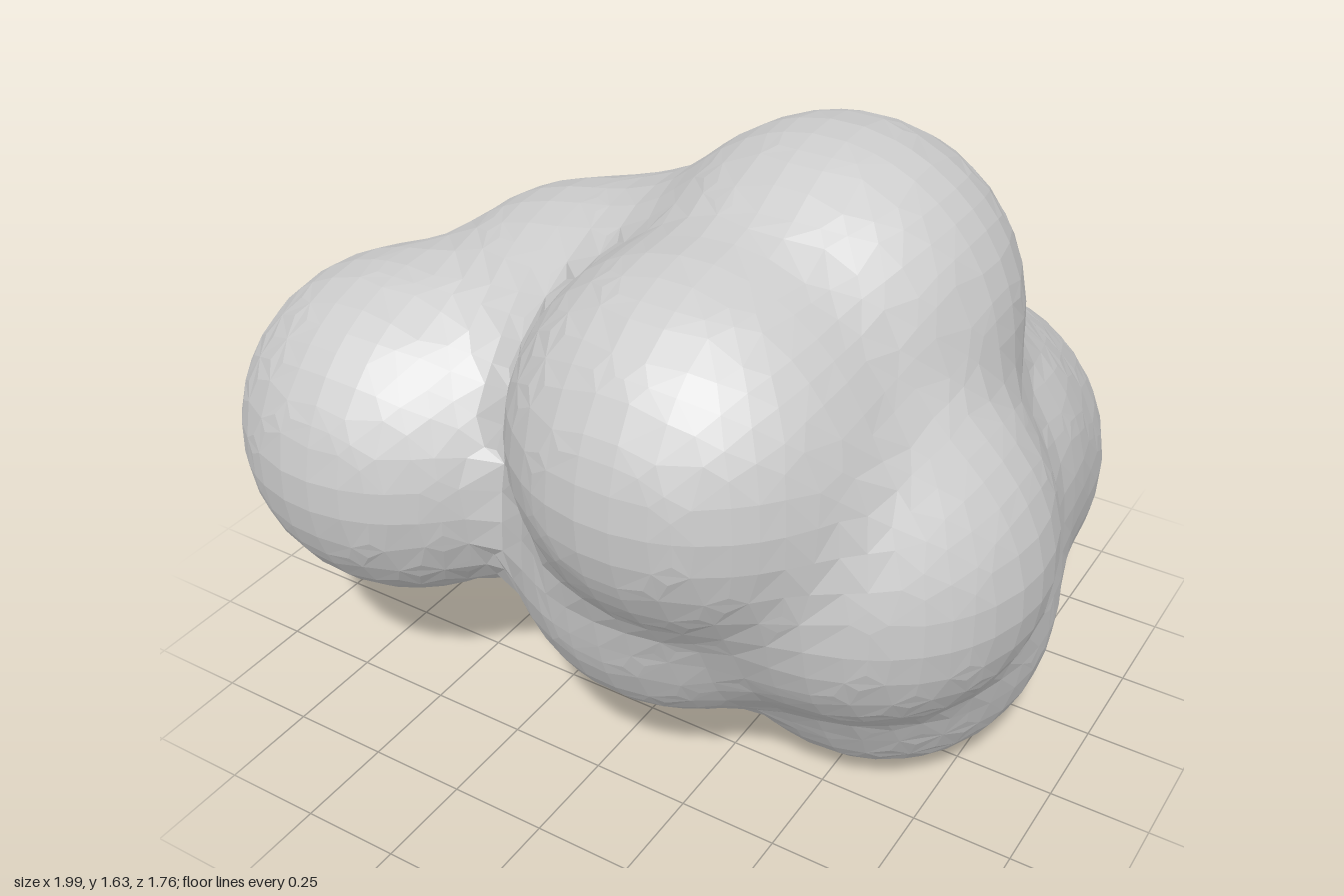
import * as THREE from 'three';

// Lobes of the blob: centre x, y, z and radius
const LOBES = [
  [-0.58, 0.785, 0.39, 0.42],  // right arm
  [-0.26, 0.93, 0.10, 0.41],   // root of the arm
  [0.28, 1.07, 0.46, 0.42],    // front
  [0.36, 1.21, 0.02, 0.42],    // top
  [0.575, 0.78, 0.23, 0.42],   // left side
  [0.50, 0.42, -0.03, 0.42],   // bottom
  [0.43, 0.57, -0.465, 0.42],  // back
  [-0.01, 0.73, -0.32, 0.41],  // back right
  [0.13, 0.65, 0.28, 0.42],    // lower front
  [0.17, 0.97, -0.16, 0.39],   // bridge from top to back
  [0.03, 1.00, 0.03, 0.39],    // bridge from top to arm
  [0.48, 0.72, -0.22, 0.39],   // bridge from left side to back
];
const BLEND = 0.05;
const CELL = 0.08;

// Smooth union of the lobes: negative inside, positive outside
function field(x, y, z) {
  let sum = 0;
  for (const [cx, cy, cz, r] of LOBES) {
    sum += Math.exp((r - Math.hypot(x - cx, y - cy, z - cz)) / BLEND);
  }
  return -BLEND * Math.log(sum);
}

// Move a point along the field's gradient towards the surface, by a short way at most
function settle(p) {
  const h = 0.002;
  const g = new THREE.Vector3(
    field(p.x + h, p.y, p.z) - field(p.x - h, p.y, p.z),
    field(p.x, p.y + h, p.z) - field(p.x, p.y - h, p.z),
    field(p.x, p.y, p.z + h) - field(p.x, p.y, p.z - h)
  ).divideScalar(2 * h);
  const move = -field(p.x, p.y, p.z) / Math.max(g.lengthSq(), 0.6);
  return p.addScaledVector(g, THREE.MathUtils.clamp(move, -0.2 * CELL, 0.2 * CELL));
}

// Mesh the blob: one vertex per grid cell the surface passes through,
// one quad per grid edge it crosses
function blobGeometry() {
  const n = 30;
  const origin = [-1.16, -0.16, -1.16];
  const step = [1, n, n * n];
  const at = (i, j, k) => [origin[0] + i * CELL, origin[1] + j * CELL, origin[2] + k * CELL];
  const values = new Float32Array(n ** 3);
  const each = (lo, hi, fn) => {
    for (let k = lo; k < hi; k++)
      for (let j = lo; j < hi; j++)
        for (let i = lo; i < hi; i++) fn(i, j, k, i + j * n + k * n * n);
  };
  each(0, n, (i, j, k, id) => { values[id] = field(...at(i, j, k)); });

  const positions = [], index = [], vertexOf = new Map();
  each(0, n - 1, (i, j, k, id) => {
    const sum = new THREE.Vector3();
    let count = 0;
    for (let c = 0; c < 8; c++) {
      for (let a = 0; a < 3; a++) {
        if (c & (1 << a)) continue;
        const corner = [c & 1, (c >> 1) & 1, (c >> 2) & 1];
        const from = id + corner[0] + corner[1] * n + corner[2] * n * n;
        const v0 = values[from], v1 = values[from + step[a]];
        if ((v0 < 0) === (v1 < 0)) continue;
        const p = at(i + corner[0], j + corner[1], k + corner[2]);
        p[a] += CELL * v0 / (v0 - v1);
        sum.add(new THREE.Vector3(...p));
        count++;
      }
    }
    if (!count) return;
    const p = settle(sum.divideScalar(count));
    vertexOf.set(id, positions.length / 3);
    positions.push(p.x, p.y, p.z);
  });

  each(1, n - 1, (i, j, k, id) => {
    for (let a = 0; a < 3; a++) {
      const inside = values[id] < 0;
      if (inside === (values[id + step[a]] < 0)) continue;
      const u = step[(a + 1) % 3], v = step[(a + 2) % 3];
      const q = [id, id - u, id - u - v, id - v].map((c) => vertexOf.get(c));
      if (!inside) q.reverse();
      index.push(q[0], q[1], q[2], q[0], q[2], q[3]);
    }
  });

  const geometry = new THREE.BufferGeometry();
  geometry.setAttribute('position', new THREE.Float32BufferAttribute(positions, 3));
  geometry.setIndex(index);
  geometry.computeVertexNormals();
  return geometry;
}

export function createModel() {
  const group = new THREE.Group();
  group.name = 'blob';
  const material = new THREE.MeshStandardMaterial({ color: 0xcccccc, flatShading: true });
  const body = new THREE.Mesh(blobGeometry(), material);
  body.name = 'mergedLobes';
  group.add(body);
  return group;
}
